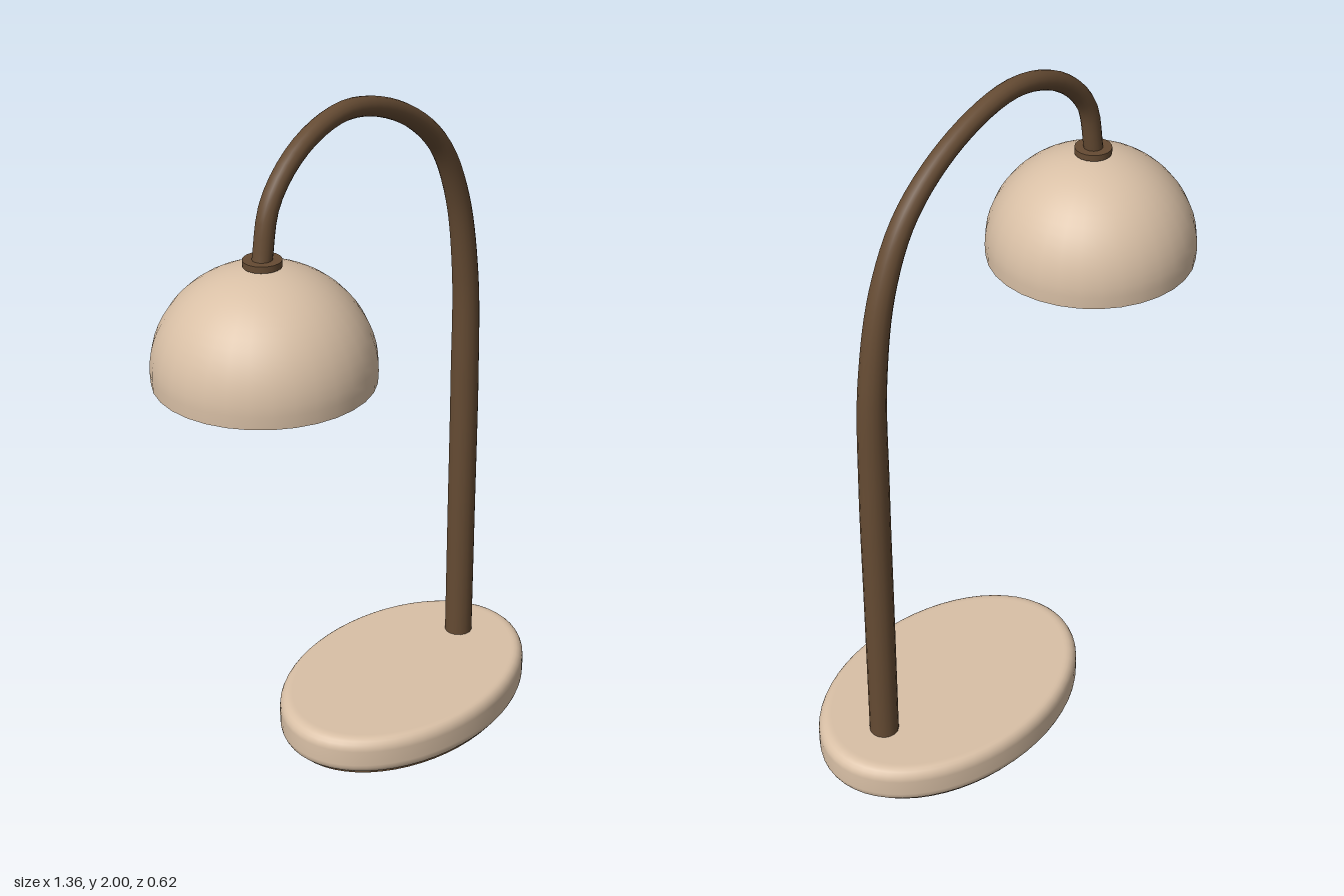
import * as THREE from 'three';

const cream = new THREE.MeshStandardMaterial({ color: 0xd9c0a6, side: THREE.DoubleSide });
cream.name = 'cream';
const brown = new THREE.MeshStandardMaterial({ color: 0x654b33 });
brown.name = 'brown';

const SHADE_X = -0.385;
const BASE_X = 0.225;

function add(group, name, geometry, material, x = 0, y = 0) {
  const mesh = new THREE.Mesh(geometry, material);
  mesh.name = name;
  mesh.position.set(x, y, 0);
  group.add(mesh);
}

const lathe = (points, segments) =>
  new THREE.LatheGeometry(points.map(([r, y]) => new THREE.Vector2(r, y)), segments);

// Oval slab with rounded edges
function baseGeometry() {
  const c = 0.035, low = 0.008, high = 0.125;
  const points = [[0, low], [0.93, low]];
  const edge = (from, cy) => {
    for (let i = 0; i <= 5; i++) {
      const a = from + (i / 5) * Math.PI / 2;
      points.push([1 - 0.08 + 0.08 * Math.cos(a), cy + c * Math.sin(a)]);
    }
  };
  edge(-Math.PI / 2, low + c);
  edge(0, high - c);
  points.push([0.9, high], [0, high]);
  return lathe(points, 56).scale(0.455, 1, 0.31);
}

// Curved tube whose radius shrinks towards the shade
function stemGeometry() {
  const path = new THREE.CatmullRomCurve3([
    [0.505, 0.1], [0.505, 0.55], [0.505, 1.0], [0.495, 1.34], [0.445, 1.6], [0.35, 1.78],
    [0.17, 1.915], [-0.05, 1.974], [-0.23, 1.925], [-0.35, 1.81], [-0.388, 1.65],
  ].map(([x, y]) => new THREE.Vector3(x, y, 0)));
  const rings = 72, sides = 16;
  const geometry = new THREE.TubeGeometry(path, rings, 1, sides);
  const position = geometry.attributes.position;
  const v = new THREE.Vector3();
  for (let i = 0; i <= rings; i++) {
    const t = i / rings;
    const radius = THREE.MathUtils.lerp(0.042, 0.027, THREE.MathUtils.smoothstep(t, 0.3, 0.8));
    const centre = path.getPointAt(t);
    for (let j = 0; j <= sides; j++) {
      const k = i * (sides + 1) + j;
      v.fromBufferAttribute(position, k).sub(centre).multiplyScalar(radius).add(centre);
      position.setXYZ(k, v.x, v.y, v.z);
    }
  }
  return geometry;
}

// Open dome with a short straight rim
function shadeGeometry() {
  const points = [[0.297, 1.33]];
  for (let i = 0; i <= 16; i++) {
    const a = (i / 16) * Math.PI / 2;
    points.push([0.299 * Math.cos(a), 1.365 + 0.282 * Math.sin(a)]);
  }
  return lathe(points, 32);
}

export function createModel() {
  const lamp = new THREE.Group();
  lamp.name = 'deskLamp';

  add(lamp, 'base', baseGeometry(), cream, BASE_X);
  add(lamp, 'basePad', new THREE.CylinderGeometry(1, 1, 0.01, 56).scale(0.425, 1, 0.289), brown, BASE_X, 0.005);
  add(lamp, 'stem', stemGeometry(), brown);
  add(lamp, 'shade', shadeGeometry(), cream, SHADE_X);
  add(lamp, 'collar', new THREE.CylinderGeometry(0.052, 0.052, 0.018, 20), brown, SHADE_X, 1.658);
  add(lamp, 'collarNeck', new THREE.CylinderGeometry(0.035, 0.035, 0.03, 16), brown, SHADE_X, 1.645);

  // Bulb holder inside the shade
  add(lamp, 'socket', lathe([
    [0, 1.46], [0.035, 1.465], [0.058, 1.49], [0.065, 1.52], [0.058, 1.55], [0.04, 1.575], [0.035, 1.64],
  ], 16), brown, SHADE_X);

  return lamp;
}
